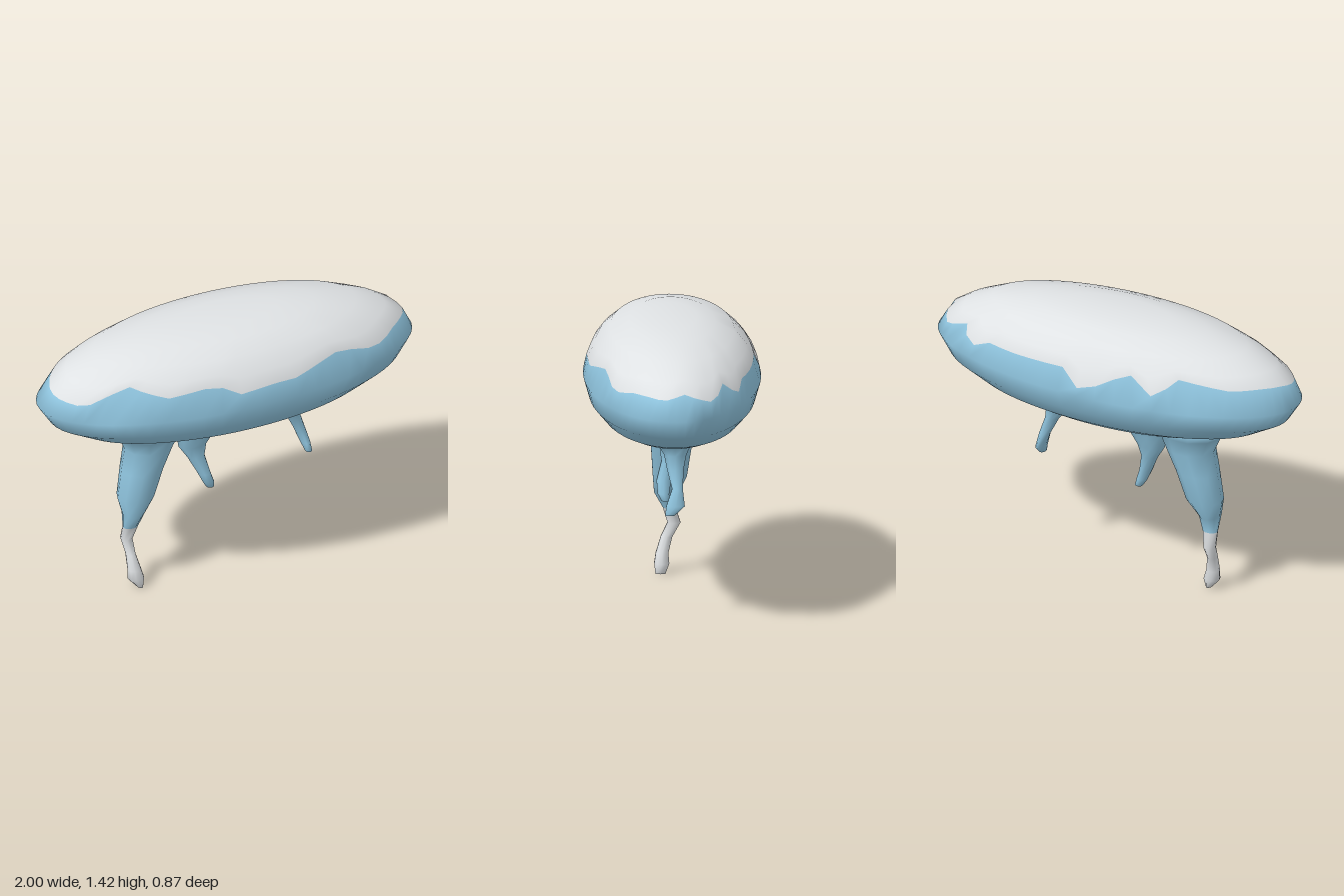
import * as THREE from 'three';

const blue = new THREE.MeshStandardMaterial({ color: 0x8fc4de });
blue.name = 'sky blue';
const white = new THREE.MeshStandardMaterial({ color: 0xdfe2e4 });
white.name = 'cloud white';

// Linear interpolation in a list of [key, value] pairs
function lookup(table, k) {
  for (let i = 1; i < table.length; i++) {
    const [k0, v0] = table[i - 1], [k1, v1] = table[i];
    if (k <= k1) return v0 + (v1 - v0) * Math.max(0, (k - k0) / (k1 - k0));
  }
  return table[table.length - 1][1];
}

// Skins closed rings listed bottom to top, with end caps; colour changes at ring `split`
function loft(name, rings, split, materials) {
  const n = rings[0].length, pos = rings.flat(2), index = [];
  const centre = (ring) => {
    const c = [0, 1, 2].map((k) => ring.reduce((s, p) => s + p[k], 0) / n);
    pos.push(...c);
    return pos.length / 3 - 1;
  };
  const last = rings.length - 1, bottom = centre(rings[0]), top = centre(rings[last]);
  for (let j = 0; j < n; j++) index.push(bottom, j, (j + 1) % n);
  let lowerCount = 0;
  for (let i = 0; i < last; i++) {
    if (i === split) lowerCount = index.length;
    for (let j = 0; j < n; j++) {
      const a = i * n + j, b = i * n + (j + 1) % n, c = a + n, d = b + n;
      index.push(a, c, b, b, c, d);
    }
  }
  for (let j = 0; j < n; j++) index.push(top, last * n + (j + 1) % n, last * n + j);
  const g = new THREE.BufferGeometry();
  g.setAttribute('position', new THREE.Float32BufferAttribute(pos, 3));
  g.setIndex(index);
  g.computeVertexNormals();
  g.addGroup(0, lowerCount, 0);
  g.addGroup(lowerCount, index.length - lowerCount, 1);
  const mesh = new THREE.Mesh(g, materials);
  mesh.name = name;
  return mesh;
}

// Body width factor by height
const profile = [[0.845, 0.15], [0.87, 0.42], [0.905, 0.63], [0.95, 0.79], [1.03, 0.935], [1.13, 1],
  [1.23, 0.95], [1.30, 0.84], [1.36, 0.70], [1.40, 0.48], [1.42, 0.28]];

// Height of the ragged colour edge by angle around the body (0 = left tip, 90 = front)
const edge = [[0, 1.24], [8, 1.225], [20, 1.235], [30, 1.235], [45, 1.21], [58, 1.27], [69, 1.25],
  [82, 1.21], [89, 1.265], [91, 1.175], [104, 1.27], [120, 1.245], [139, 1.3], [152, 1.21],
  [170, 1.22], [185, 1.24], [200, 1.25], [215, 1.25], [236, 1.29], [245, 1.19], [253, 1.29],
  [264, 1.2], [270, 1.17], [276, 1.25], [295, 1.24], [306, 1.24], [313, 1.19], [324, 1.26],
  [334, 1.2], [354, 1.25], [360, 1.24]];

function makeBody() {
  const n = 60;
  const ring = (height) => Array.from({ length: n }, (_, j) => {
    const deg = (j / n) * 360, t = THREE.MathUtils.degToRad(deg);
    const y = height(lookup(edge, deg)), s = lookup(profile, y);
    return [s * Math.cos(t), y, 0.437 * s * Math.sin(t)];
  });
  const heights = [0.845, 0.87, 0.905, 0.95, 1.03, 1.13].map((y) => () => y);
  heights.push((e) => e, (e) => (e + 1.35) / 2, () => 1.36, () => 1.4, () => 1.42);
  return loft('cloudBody', heights.map(ring), 6, [blue, white]);
}

// Leg from sections [y, xMin, xMax, zMin, zMax], bottom to top
function makeLeg(name, sections, split, materials) {
  const n = 10;
  const rings = sections.map(([y, x0, x1, z0, z1]) => Array.from({ length: n }, (_, j) => {
    const t = (j / n) * Math.PI * 2;
    return [(x0 + x1) / 2 + (x1 - x0) / 2 * Math.cos(t), y, (z0 + z1) / 2 + (z1 - z0) / 2 * Math.sin(t)];
  }));
  return loft(name, rings, split, materials);
}

export function createModel() {
  const group = new THREE.Group();
  group.name = 'cloudWithTrails';
  group.add(makeBody());

  // Long trail with a pale tip
  group.add(makeLeg('longTrail', [
    [0, -0.495, -0.465, 0.02, 0.072], [0.05, -0.54, -0.455, 0.0, 0.078], [0.1, -0.54, -0.47, 0.005, 0.07],
    [0.18, -0.54, -0.49, -0.015, 0.045], [0.25, -0.55, -0.49, -0.055, 0.012], [0.33, -0.55, -0.47, -0.03, 0.035],
    [0.41, -0.555, -0.45, -0.05, 0.08], [0.5, -0.577, -0.385, -0.088, 0.088], [0.65, -0.555, -0.335, -0.11, 0.098],
    [0.77, -0.535, -0.28, -0.125, 0.105], [0.85, -0.57, -0.24, -0.14, 0.135], [0.93, -0.65, -0.17, -0.19, 0.19],
  ], 5, [white, blue]));

  // Short middle trail
  group.add(makeLeg('middleTrail', [
    [0.465, -0.11, -0.07, 0.01, 0.05], [0.5, -0.132, -0.075, 0.01, 0.07], [0.56, -0.16, -0.095, 0.0, 0.075],
    [0.65, -0.205, -0.115, -0.02, 0.05], [0.72, -0.25, -0.1, -0.05, 0.06], [0.79, -0.26, -0.055, -0.07, 0.08],
    [0.84, -0.28, -0.01, -0.09, 0.1], [0.9, -0.34, 0.06, -0.13, 0.14],
  ], 1, [blue, blue]));

  // Short left trail
  group.add(makeLeg('leftTrail', [
    [0.525, 0.43, 0.465, -0.005, 0.045], [0.57, 0.415, 0.463, -0.055, 0.04], [0.65, 0.385, 0.443, -0.045, 0.01],
    [0.74, 0.34, 0.412, -0.05, 0.035], [0.81, 0.285, 0.405, -0.065, 0.05], [0.86, 0.24, 0.42, -0.09, 0.08],
    [0.91, 0.17, 0.48, -0.13, 0.12],
  ], 1, [blue, blue]));
  return group;
}
